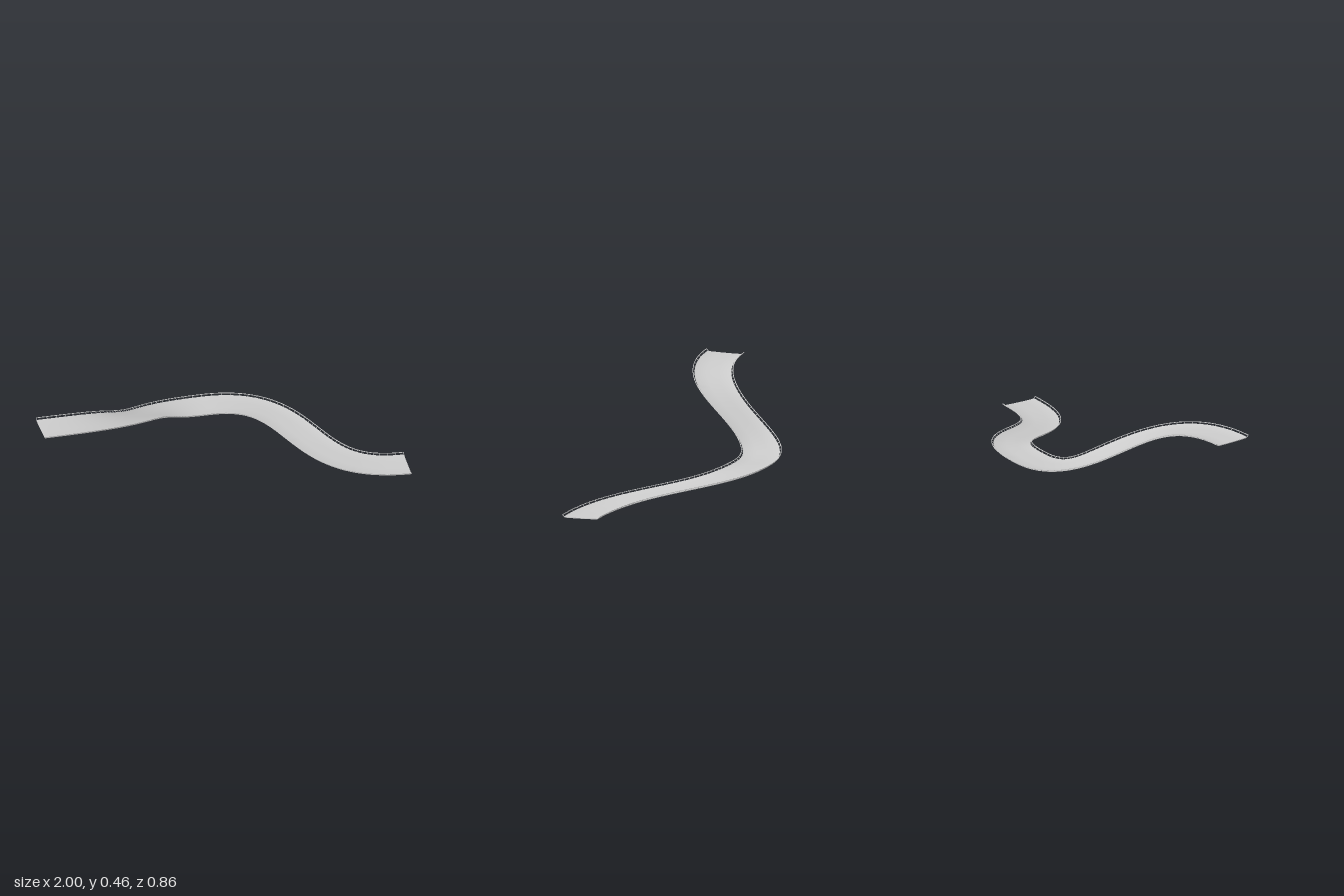
import * as THREE from 'three';
import { toCreasedNormals } from 'three/addons/utils/BufferGeometryUtils.js';

const V = (x, y, z) => new THREE.Vector3(x, y, z);

// Centre line: two flowing bends going downhill from -x to +x
const bends = [
  new THREE.CubicBezierCurve3(V(-1, 0.443, 0.232), V(-0.25, 0.443, 0.232), V(-0.47, 0.138, -0.32), V(0.04, 0.138, -0.32)),
  new THREE.CubicBezierCurve3(V(0.04, 0.138, -0.32), V(0.62, 0.138, -0.32), V(0.36, 0.006, 0.3), V(0.995, 0.006, 0.32)),
];

// Frames along the centre line: point, level sideways direction, bank angle
function makeFrames(perBend) {
  const frames = [];
  bends.forEach((curve, b) => {
    for (let i = b; i <= perBend; i++) {
      const t = i / perBend;
      const d = curve.getTangent(t);
      frames.push({
        p: curve.getPoint(t),
        side: V(-d.z, 0, d.x).normalize(),
        bank: b ? 0.04 * t ** 3 : 0,
      });
    }
  });
  return frames;
}

// Point at sideways offset u and height v from a frame
const place = (f, u, v) => f.p.clone().addScaledVector(f.side, u).add(V(0, v - u * f.bank, 0));

// Sweeps a closed anticlockwise section [u, v] along the frames, with end caps
function sweep(section, frames) {
  const n = section.length, last = (frames.length - 1) * n;
  const points = frames.flatMap((f) => section.map(([u, v]) => place(f, u, v)));
  const index = [];
  for (let i = 0; i < frames.length - 1; i++) {
    for (let j = 0; j < n; j++) {
      const a = i * n + j, b = i * n + ((j + 1) % n);
      index.push(a, a + n, b + n, a, b + n, b);
    }
  }
  const caps = THREE.ShapeUtils.triangulateShape(section.map(([u, v]) => new THREE.Vector2(u, v)), []);
  for (const [a, b, c] of caps) index.push(a, b, c, last + a, last + c, last + b);
  const geo = new THREE.BufferGeometry().setFromPoints(points);
  geo.setIndex(index);
  return toCreasedNormals(geo, 0.6);
}

const box = (u, v, r) => [[u - r, v - r], [u + r, v - r], [u + r, v + r], [u - r, v + r]];

export function createModel() {
  const model = new THREE.Group();
  const material = new THREE.MeshStandardMaterial({ color: 0xcccccc });
  const frames = makeFrames(48);
  const add = (geo, name) => {
    const mesh = new THREE.Mesh(geo, material);
    mesh.name = name;
    model.add(mesh);
    return mesh;
  };

  // Thin, slightly dished deck
  const top = [[0.098, 0.003], [0.088, 0], [0.03, -0.001], [-0.03, -0.001], [-0.088, 0], [-0.098, 0.003]];
  const bottom = top.map(([u, v]) => [u, v - 0.004]).reverse();
  add(sweep([...bottom, ...top], frames), 'roadDeck');

  // Rails leaning out from both edges on short posts
  const postFrames = makeFrames(34);
  for (const s of [1, -1]) {
    const label = s > 0 ? 'front' : 'back';
    add(sweep(box(s * 0.107, 0.011, 0.0015), frames), label + 'Rail');

    const posts = new THREE.Group();
    posts.name = label + 'Posts';
    for (const f of postFrames) {
      const foot = place(f, s * 0.097, 0.002), head = place(f, s * 0.107, 0.011);
      const dir = head.clone().sub(foot);
      const post = new THREE.Mesh(new THREE.CylinderGeometry(0.0014, 0.0014, dir.length(), 6), material);
      post.name = 'post';
      post.position.copy(foot).addScaledVector(dir, 0.5);
      post.quaternion.setFromUnitVectors(V(0, 1, 0), dir.normalize());
      posts.add(post);
    }
    model.add(posts);
  }
  return model;
}
